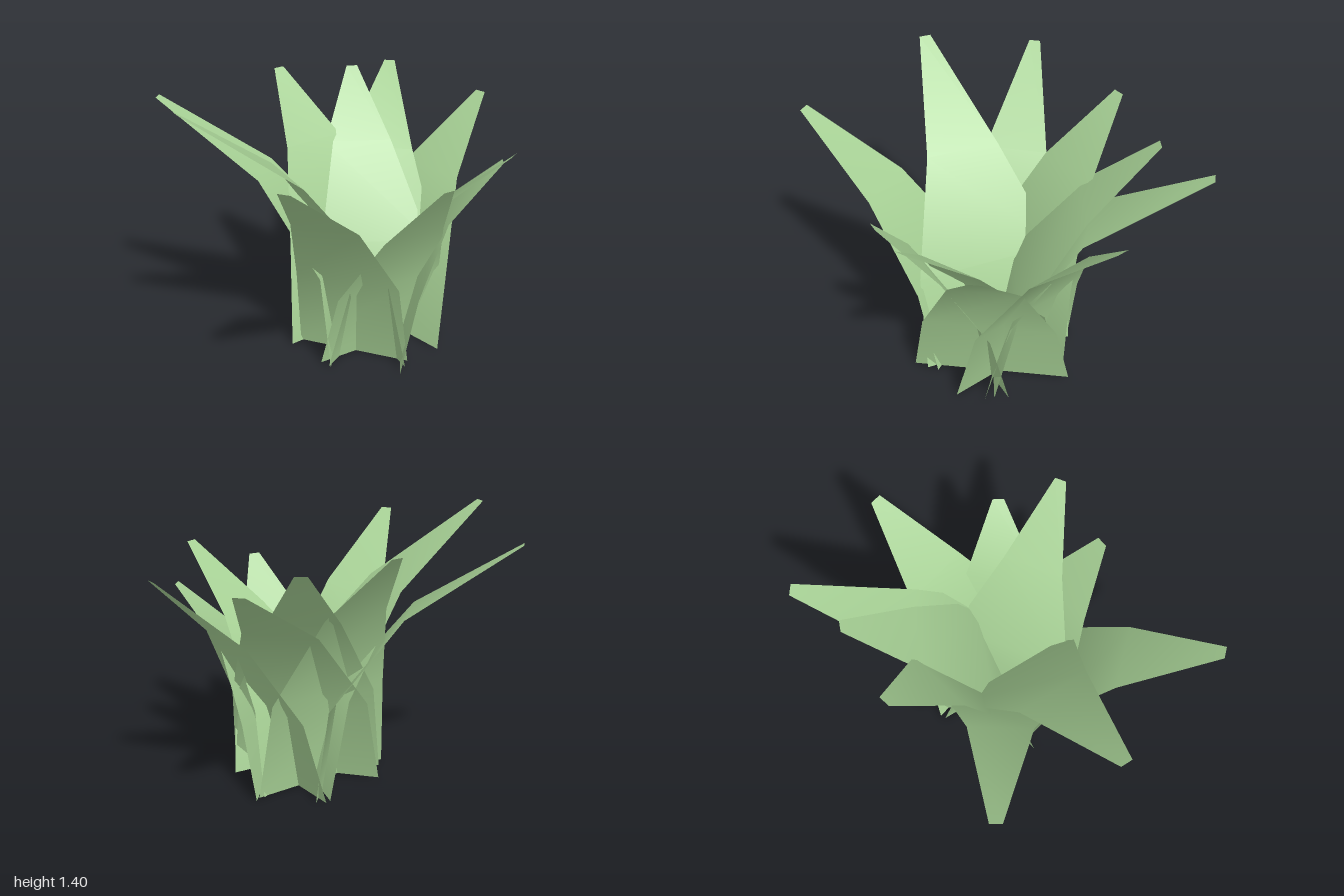
import * as THREE from 'three';

// Leaf clump: flat tapering blades, rising steeply from a crowded root and arching outward.
const ROOT_X = 0.2;

// tip position, height of the bend, then distance from the root axis and
// half width at the base, lower third and bend
const LEAVES = [
  { tip: [0.378, 1.26, -1.0], bend: 0.91, reach: [0.03, 0.15, 0.46], half: [0.4, 0.36, 0.19] },
  { tip: [0.145, 1.29, -0.775], bend: 0.96, reach: [-0.02, 0.1, 0.43], half: [0.39, 0.35, 0.18] },
  { tip: [-0.265, 1.33, -0.6], bend: 0.99, reach: [0.15, 0.22, 0.45], half: [0.39, 0.34, 0.18] },
  { tip: [-0.873, 1.3, -0.175], bend: 0.93, reach: [0.14, 0.2, 0.54], half: [0.38, 0.34, 0.165] },
  { tip: [-0.707, 1.4, 0.415], bend: 1.0, reach: [-0.02, 0.09, 0.45], half: [0.4, 0.38, 0.195] },
  { tip: [-0.205, 1.24, 0.99], bend: 0.89, reach: [0.2, 0.31, 0.62], half: [0.3, 0.275, 0.17] },
  { tip: [0.535, 1.06, 0.548], bend: 0.74, reach: [0.13, 0.21, 0.4], half: [0.37, 0.32, 0.18] },
  { tip: [0.855, 1.17, 0.378], bend: 0.84, reach: [-0.01, 0.08, 0.4], half: [0.4, 0.34, 0.165] },
  { tip: [0.874, 1.02, 0.06], bend: 0.74, reach: [0.19, 0.27, 0.41], half: [0.41, 0.34, 0.18] },
  { tip: [0.85, 1.2, -0.56], bend: 0.84, reach: [0.16, 0.26, 0.48], half: [0.385, 0.335, 0.185] },
];

function leafGeometry({ tip, bend, reach, half }) {
  const dx = tip[0] - ROOT_X, dz = tip[2];
  const tipReach = Math.hypot(dx, dz);
  const ux = dx / tipReach, uz = dz / tipReach;
  // cross-sections: distance from the root axis, height, half width
  const rows = [
    [reach[0], 0, half[0]],
    [reach[1], bend * 0.52, half[1]],
    [reach[2], bend, half[2]],
    [tipReach, tip[1], 0.03],
  ];
  const positions = [], index = [];
  rows.forEach(([r, y, w], i) => {
    for (const side of [-1, 1]) {
      positions.push(ROOT_X + ux * r - uz * w * side, y, uz * r + ux * w * side);
    }
    if (i > 0) {
      const a = (i - 1) * 2;
      index.push(a, a + 2, a + 1, a + 1, a + 2, a + 3);
    }
  });
  const geometry = new THREE.BufferGeometry();
  geometry.setAttribute('position', new THREE.Float32BufferAttribute(positions, 3));
  geometry.setIndex(index);
  geometry.computeVertexNormals();
  return geometry;
}

export function createModel() {
  const group = new THREE.Group();
  group.name = 'leafClump';
  const material = new THREE.MeshStandardMaterial({ color: 0xa8d296, side: THREE.DoubleSide });
  LEAVES.forEach((leaf, i) => {
    const mesh = new THREE.Mesh(leafGeometry(leaf), material);
    mesh.name = `leaf${i + 1}`;
    group.add(mesh);
  });
  return group;
}
